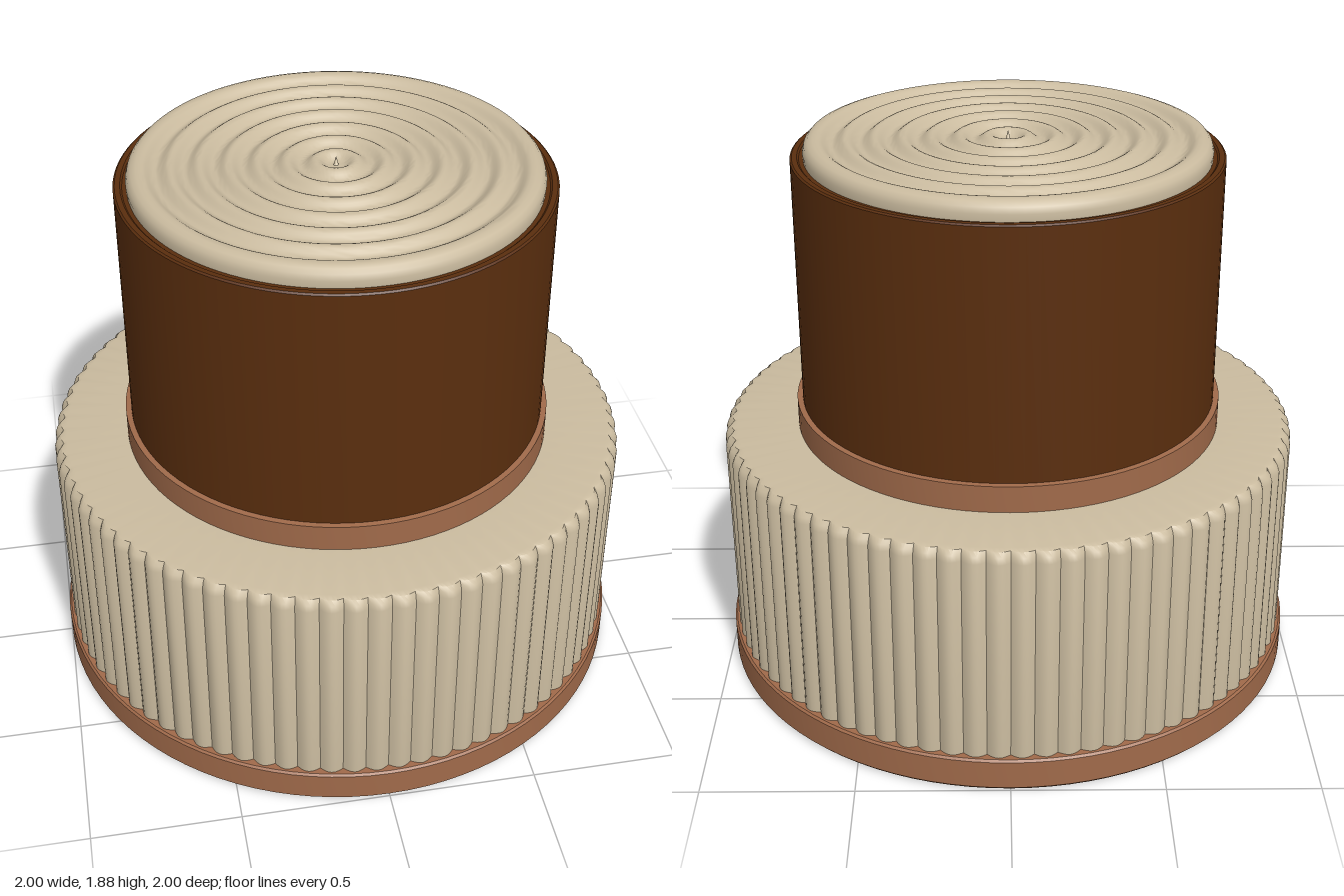
import * as THREE from 'three';
import { toCreasedNormals } from 'three/addons/utils/BufferGeometryUtils.js';

export function createModel() {
  const model = new THREE.Group();
  const material = (name, color) => {
    const m = new THREE.MeshStandardMaterial({ color });
    m.name = name;
    return m;
  };
  const cream = material('cream', 0xcabb9f);
  const copper = material('copper', 0xa06a4a);
  const brown = material('dark brown', 0x5a2e0e);

  // Turned part from [radius, height] points listed bottom to top
  const turned = (points, segments = 96) =>
    new THREE.LatheGeometry(points.map(([r, y]) => new THREE.Vector2(r, y)), segments);
  const add = (name, geometry, mat, crease = 0.6) => {
    const mesh = new THREE.Mesh(toCreasedNormals(geometry, crease), mat);
    mesh.name = name;
    model.add(mesh);
  };

  // Base ring with a dark underside
  add('baseRing', turned([[0.99, 0], [0.999, 0.01], [0.999, 0.108], [0.992, 0.115], [0.9, 0.115]]), copper);
  const underside = new THREE.CircleGeometry(0.99, 96);
  underside.rotateX(Math.PI / 2);
  add('underside', underside, brown);

  // Fluted knob skirt: convex ribs pressed into the side wall
  const ribs = 80;
  const skirt = turned([[0.9, 0.112], [0.984, 0.112], [0.984, 0.832], [0.977, 0.852],
    [0.962, 0.866], [0.94, 0.87], [0.7, 0.87]], ribs * 6);
  const p = skirt.attributes.position;
  for (let i = 0; i < p.count; i++) {
    const x = p.getX(i), z = p.getZ(i), r = Math.hypot(x, z);
    const rib = Math.abs(Math.sin(Math.atan2(x, z) * ribs / 2));
    const strength = THREE.MathUtils.smoothstep(r, 0.94, 0.98);
    const k = 1 - 0.018 * (1 - rib) * strength / r;
    p.setX(i, x * k);
    p.setZ(i, z * k);
  }
  add('flutedSkirt', skirt, cream);

  // Collar between skirt and barrel
  add('collar', turned([[0.73, 0.865], [0.73, 0.962], [0.7, 0.964]]), copper);

  // Barrel with a thin top lip
  add('barrel', turned([[0.711, 0.96], [0.711, 1.812], [0.705, 1.817], [0.688, 1.817],
    [0.682, 1.811], [0.6, 1.811]]), brown);

  // Button cap with rounded rim and concentric ripples
  const cap = [[0.668, 1.808], [0.67, 1.835], [0.664, 1.855], [0.652, 1.868], [0.635, 1.874]];
  const steps = 78;
  for (let i = 0; i <= steps; i++) {
    const r = 0.62 * (1 - i / steps);
    const wave = Math.cos((r - 0.62) / 0.0925 * Math.PI * 2);
    cap.push([r, 1.862 + 0.012 * wave]);
  }
  cap[cap.length - 1][1] = 1.884;
  add('rippledCap', turned(cap), cream, 1);

  return model;
}
